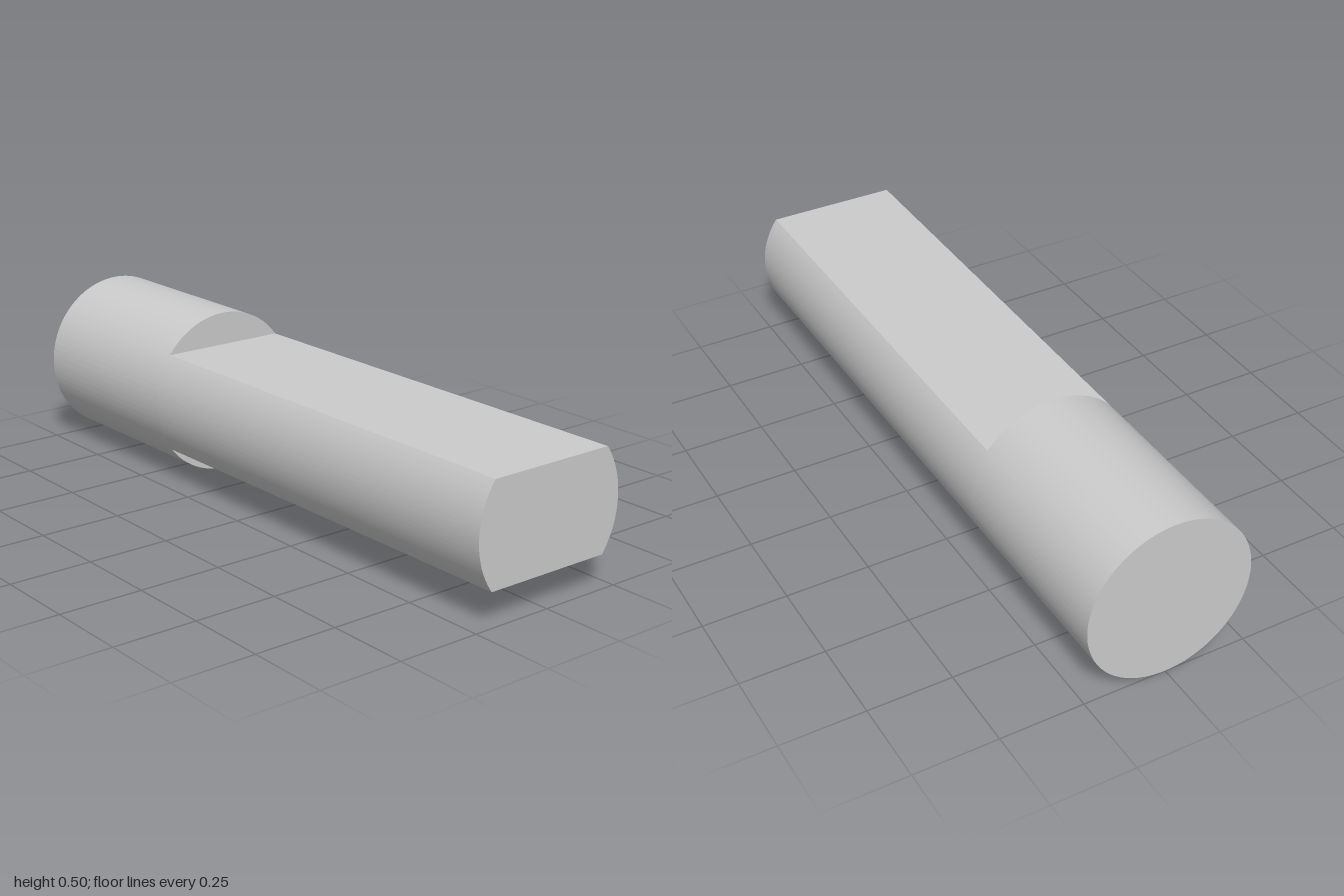
import * as THREE from 'three';
import { toCreasedNormals } from 'three/addons/utils/BufferGeometryUtils.js';

const RADIUS = 0.25;      // shank radius, also the height of its axis
const HALF_FLAT = 0.15;   // distance from the axis to each flat
const BACK = -1, SHOULDER = -0.4, FRONT = 1;

export function createModel() {
  const group = new THREE.Group();
  group.name = 'flattedPin';
  const material = new THREE.MeshStandardMaterial({ color: 0xcccccc });

  // Extrudes a cross-section along z with smooth curves and sharp edges
  const addPart = (name, shape, z0, z1, curveSegments) => {
    const geometry = new THREE.ExtrudeGeometry(shape, {
      depth: z1 - z0, bevelEnabled: false, curveSegments,
    });
    geometry.translate(0, RADIUS, z0);
    const mesh = new THREE.Mesh(toCreasedNormals(geometry, 0.5), material);
    mesh.name = name;
    group.add(mesh);
  };

  // Full round section at the back
  const round = new THREE.Shape().absarc(0, 0, RADIUS, 0, Math.PI * 2, false);
  addPart('roundShank', round, BACK, SHOULDER, 120);

  // Front section: same round cut by two parallel flats
  const a = Math.asin(HALF_FLAT / RADIUS);
  const flatted = new THREE.Shape();
  flatted.absarc(0, 0, RADIUS, -a, a, false);
  flatted.absarc(0, 0, RADIUS, Math.PI - a, Math.PI + a, false);
  flatted.closePath();
  addPart('flattedTang', flatted, SHOULDER, FRONT, 28);

  return group;
}
